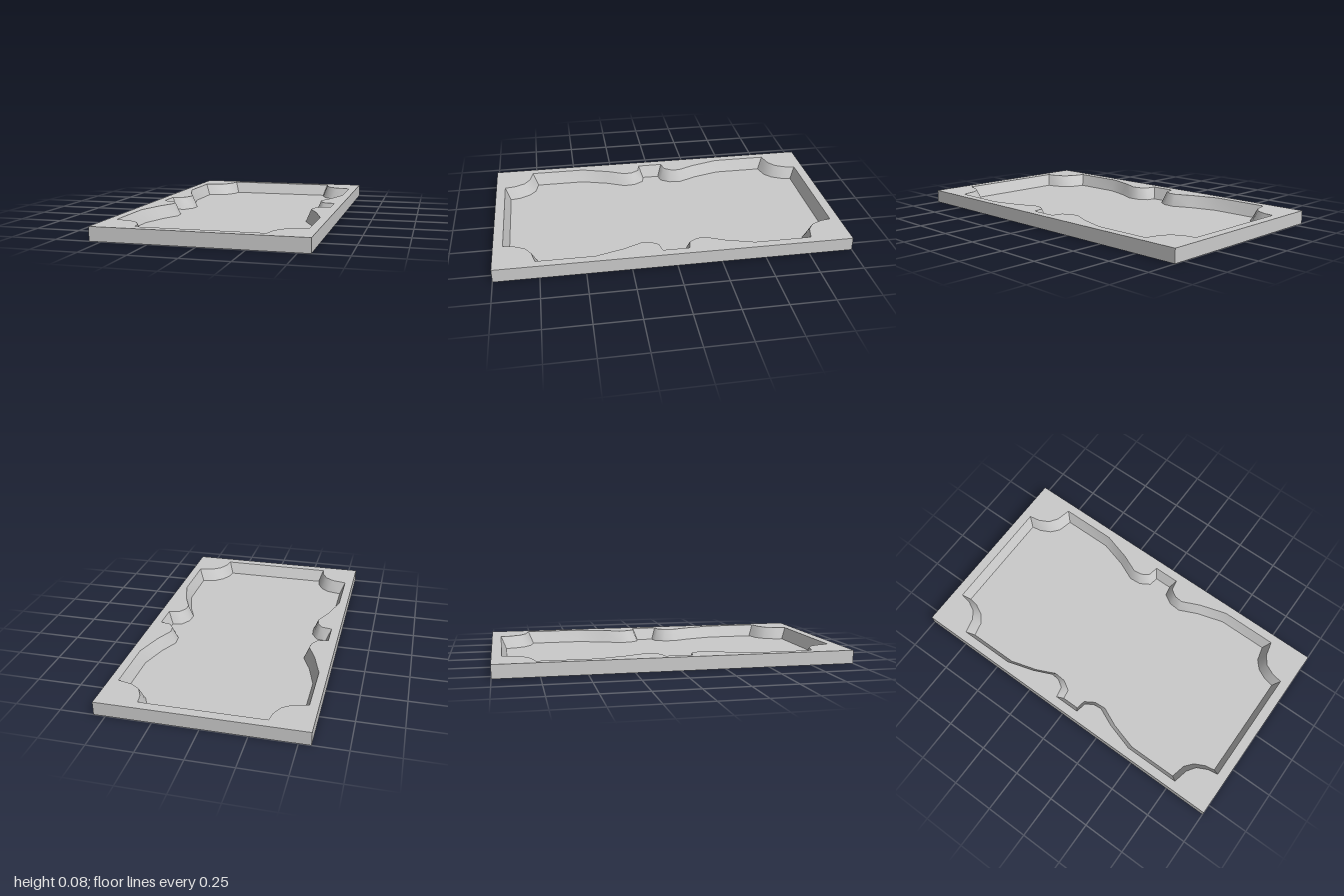
import * as THREE from 'three';
import { toCreasedNormals } from 'three/addons/utils/BufferGeometryUtils.js';

const HEIGHT = 0.076, FLOOR = 0.004, HALF_X = 0.565, HALF_Z = 1;

// One quarter [x, z] of the pocket outline: at the rim and at the floor
const RIM = [[0.34, -0.945], [0.35, -0.885], [0.38, -0.825], [0.43, -0.79], [0.515, -0.77],
  [0.515, -0.445], [0.467, -0.285], [0.42, -0.18], [0.425, -0.13], [0.453, -0.087], [0.515, -0.075]];
const BASE = [[0.315, -0.915], [0.325, -0.86], [0.355, -0.8], [0.402, -0.76], [0.485, -0.74],
  [0.485, -0.45], [0.44, -0.295], [0.39, -0.185], [0.395, -0.117], [0.43, -0.06], [0.485, -0.05]];

// Mirror a quarter across z and x into a closed loop
function mirrorLoop(quarter) {
  const half = [...quarter, ...quarter.map(([x, z]) => [x, -z]).reverse()];
  return [...half, ...half.map(([x, z]) => [-x, z]).reverse()];
}

// Band of quads between two matching loops at heights ya and yb
function band(a, ya, b, yb) {
  const pos = [];
  a.forEach((p, i) => {
    const j = (i + 1) % a.length, q = a[j], r = b[i], s = b[j];
    pos.push(p[0], ya, p[1], q[0], ya, q[1], r[0], yb, r[1]);
    pos.push(q[0], ya, q[1], s[0], yb, s[1], r[0], yb, r[1]);
  });
  const geo = new THREE.BufferGeometry();
  geo.setAttribute('position', new THREE.Float32BufferAttribute(pos, 3));
  return toCreasedNormals(geo, 0.95);
}

// Flat upward-facing sheet with an optional hole
function sheet(loop, y, hole) {
  const points = (l) => l.map(([x, z]) => new THREE.Vector2(x, -z));
  const shape = new THREE.Shape(points(loop));
  if (hole) shape.holes.push(new THREE.Path(points(hole)));
  return new THREE.ShapeGeometry(shape).rotateX(-Math.PI / 2).translate(0, y, 0);
}

export function createModel() {
  const group = new THREE.Group();
  group.name = 'recessedTray';
  const material = new THREE.MeshStandardMaterial({ color: 0xcccccc, side: THREE.DoubleSide });
  const add = (name, geometry) => {
    const mesh = new THREE.Mesh(geometry, material);
    mesh.name = name;
    group.add(mesh);
  };

  const outer = mirrorLoop([[HALF_X, -HALF_Z]]);
  const rim = mirrorLoop(RIM);
  const base = mirrorLoop(BASE);

  // Hollow shell, open underneath
  add('outerWalls', band(outer, HEIGHT, outer, 0));
  add('topFrame', sheet(outer, HEIGHT, rim));
  // Sloping sides and floor of the pocket
  add('pocketWall', band(base, FLOOR, rim, HEIGHT));
  add('pocketFloor', sheet(base, FLOOR));
  return group;
}
